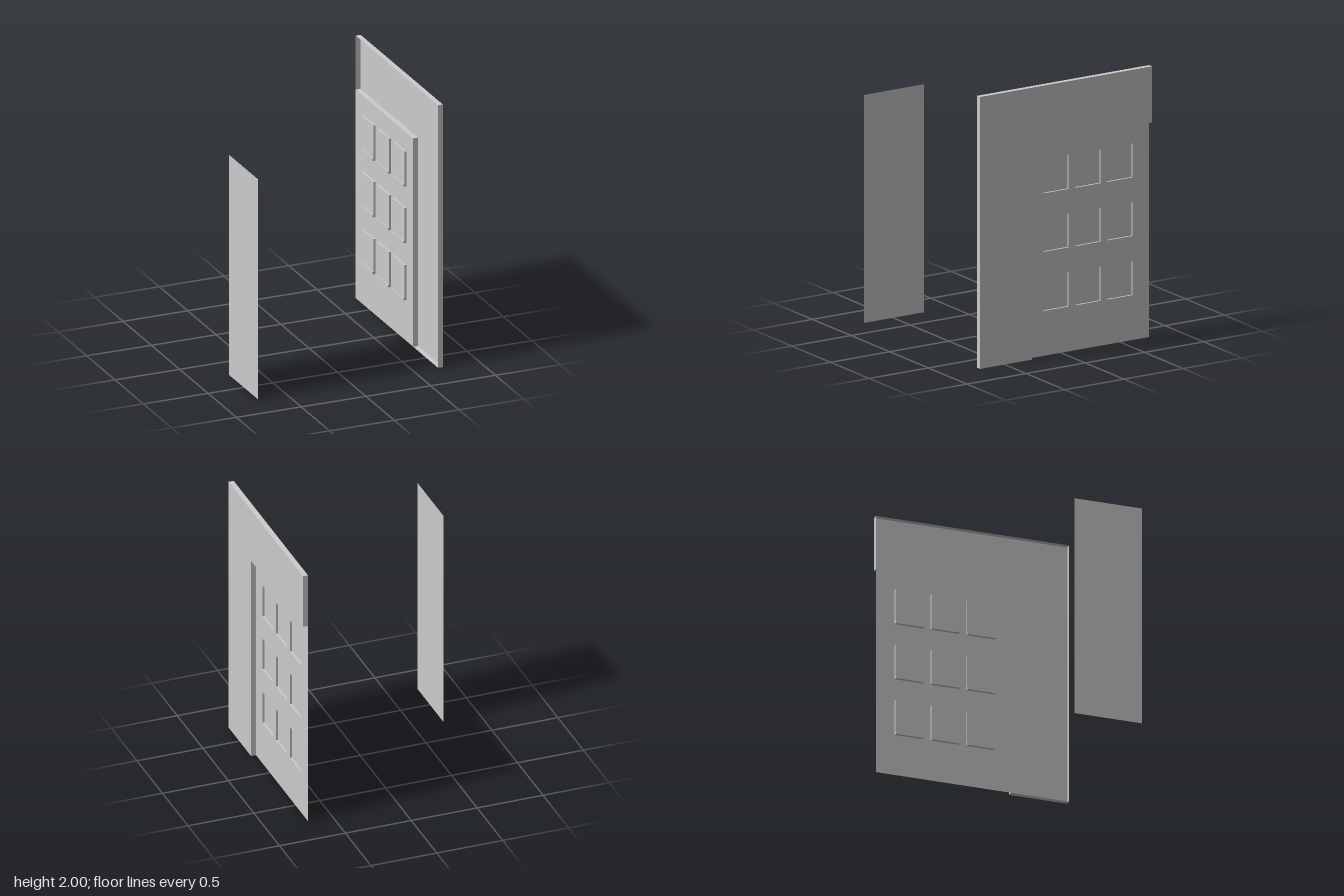
import * as THREE from 'three';

const material = new THREE.MeshStandardMaterial({ color: 0xcccccc, side: THREE.DoubleSide });

// All outlines are drawn as [z, y] and stand in a plane of constant x.
const rect = (z0, z1, y0, y1) => [[z0, y0], [z1, y0], [z1, y1], [z0, y1]];
const toPoints = (outline) => outline.map(([z, y]) => new THREE.Vector2(-z, y));

function addMesh(parent, name, geometry) {
  const mesh = new THREE.Mesh(geometry, material);
  mesh.name = name;
  parent.add(mesh);
  return mesh;
}

// Flat sheet facing +x, with optional openings
function sheet(outline, x, openings = []) {
  const shape = new THREE.Shape(toPoints(outline));
  for (const o of openings) shape.holes.push(new THREE.Path(toPoints(o)));
  return new THREE.ShapeGeometry(shape).rotateY(Math.PI / 2).translate(x, 0, 0);
}

// Open band following an outline between two x positions
function rim(outline, x0, x1) {
  const pos = [];
  outline.forEach(([z, y], i) => {
    const [zn, yn] = outline[(i + 1) % outline.length];
    pos.push(x0, y, z, x0, yn, zn, x1, yn, zn, x0, y, z, x1, yn, zn, x1, y, z);
  });
  const geometry = new THREE.BufferGeometry();
  geometry.setAttribute('position', new THREE.Float32BufferAttribute(pos, 3));
  geometry.computeVertexNormals();
  return geometry;
}

export function createModel() {
  const model = new THREE.Group();
  model.name = 'facade';
  const outerX = 0.723, innerX = 0.685, paneX = 0.67, sillX = 0.662;
  const front = 0.708, back = -0.745, corner = 0.27, lintel = 1.588;

  // L-shaped wall shell, open on its inner side
  const wall = new THREE.Group();
  wall.name = 'wall';
  const wallOutline = [[front, 0], [corner, 0], [corner, lintel], [back, lintel], [back, 2], [front, 2]];
  addMesh(wall, 'wallFace', sheet(wallOutline, outerX));
  addMesh(wall, 'wallEdges', rim(wallOutline, innerX, outerX));
  model.add(wall);

  // Recessed windows with sills behind
  const openings = [];
  for (const bottom of [0.328, 0.763, 1.193]) {
    for (const z of [0.148, -0.122, -0.392]) {
      const opening = rect(z, z - 0.212, bottom, bottom + 0.252);
      openings.push(opening);
      const win = new THREE.Group();
      win.name = 'window';
      addMesh(win, 'windowPane', sheet(opening, paneX));
      addMesh(win, 'windowReveal', rim(opening, paneX, innerX));
      const sill = addMesh(win, 'windowSill', new THREE.BoxGeometry(innerX - sillX, 0.018, 0.212));
      sill.position.set((innerX + sillX) / 2, bottom - 0.007, z - 0.106);
      model.add(win);
    }
  }

  // Recessed panel pierced by the windows
  addMesh(model, 'windowWall', sheet(rect(corner, back, 0, lintel), innerX, openings));

  // Free-standing thin panel on the opposite side
  addMesh(model, 'sidePanel', sheet(rect(0.745, 0.237, 0, 1.677), -outerX));

  return model;
}
